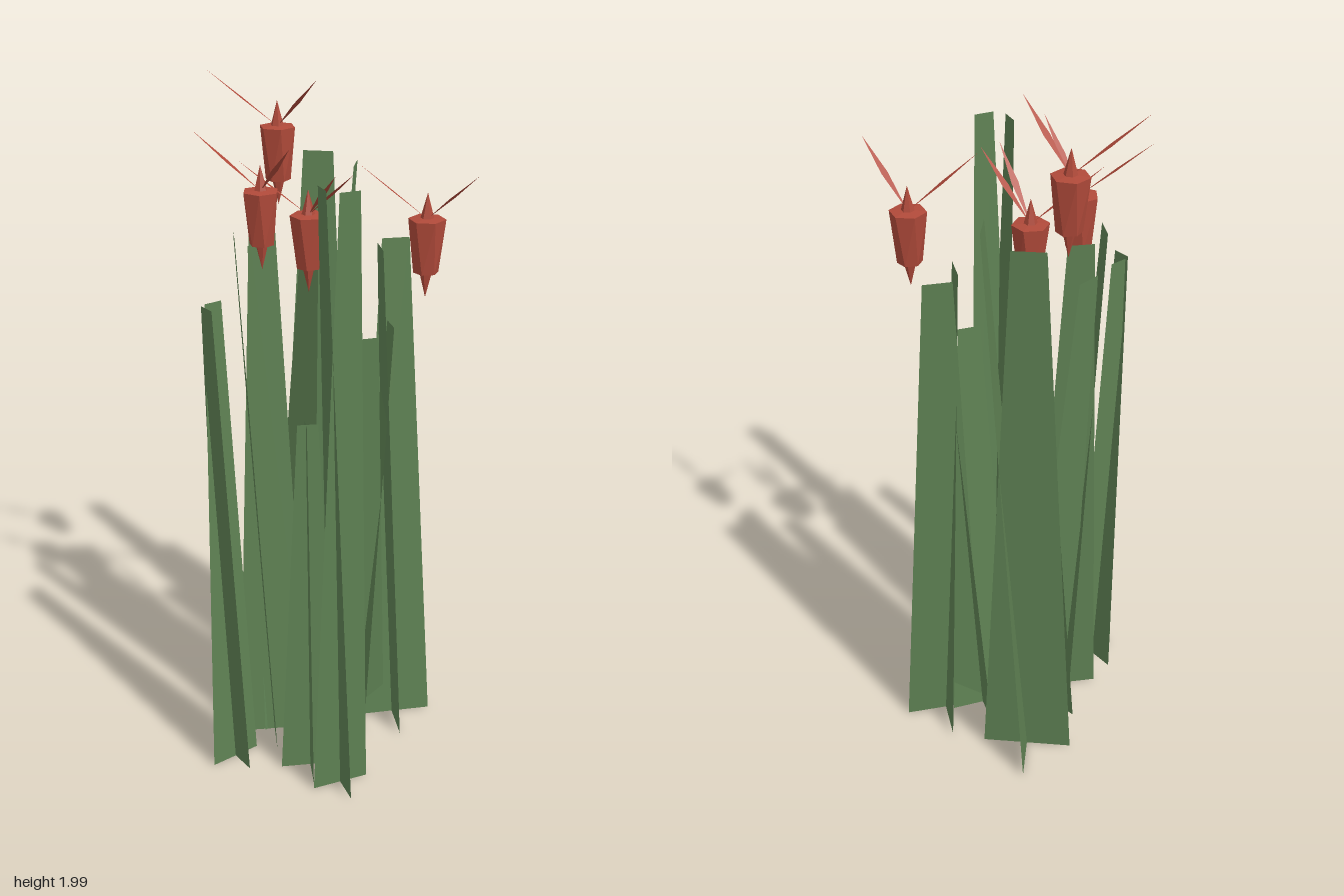
import * as THREE from 'three';

const leafMat = new THREE.MeshStandardMaterial({ color: 0x5f8254, flatShading: true, side: THREE.DoubleSide });
const redMat = new THREE.MeshStandardMaterial({ color: 0xb04a3a, flatShading: true, side: THREE.DoubleSide });

// Flat four-cornered surface, corners in order round the edge
function quad(name, a, b, c, d, mat) {
  const g = new THREE.BufferGeometry();
  g.setAttribute('position', new THREE.Float32BufferAttribute([a, b, c, a, c, d].flat(), 3));
  g.computeVertexNormals();
  const m = new THREE.Mesh(g, mat);
  m.name = name;
  return m;
}

// One tapering blade: half-width vector (wx, wz) at the foot, top shifted by (lx, lz)
function blade(cx, cz, wx, wz, h, lx, lz) {
  const t = 0.33, tx = cx + lx, tz = cz + lz;
  return quad('blade',
    [cx - wx, 0, cz - wz], [cx + wx, 0, cz + wz],
    [tx + wx * t, h, tz + wz * t], [tx - wx * t, h, tz - wz * t], leafMat);
}

// Two blades crossing at right angles, each leaning square to its own face
function tuft([cx, cz, ux, uz, h, lean1, lean2]) {
  const g = new THREE.Group();
  g.name = 'tuft';
  const vx = -uz, vz = ux;
  g.add(blade(cx, cz, ux, uz, h, vx * lean1, vz * lean1));
  g.add(blade(cx, cz, vx, vz, h, ux * lean2, uz * lean2));
  return g;
}

// Twisted, faceted lantern-shaped bloom; y = 0 is the top of the body
function bloomBody() {
  const profile = [[0, -0.215], [0.016, -0.15], [0.034, -0.145], [0.05, 0], [0.018, 0.003], [0, 0.07]];
  const twist = [0, 0, 0, 0.75, 0.75, 0.75];
  const n = 6;
  const g = new THREE.LatheGeometry(profile.map(p => new THREE.Vector2(...p)), n);
  const p = g.attributes.position;
  const v = new THREE.Vector3(), up = new THREE.Vector3(0, 1, 0);
  for (let i = 0; i < p.count; i++) {
    v.fromBufferAttribute(p, i).applyAxisAngle(up, twist[i % profile.length]);
    p.setXYZ(i, v.x, v.y, v.z);
  }
  const flat = g.toNonIndexed();
  flat.computeVertexNormals();
  const m = new THREE.Mesh(flat, redMat);
  m.name = 'bloomBody';
  return m;
}

// Long thin spike, widest halfway along
function spike(x, z) {
  const l = Math.hypot(x, z), sx = -z / l * 0.01, sz = x / l * 0.01;
  return quad('spike', [0, 0, 0], [x / 2 + sx, 0.075, z / 2 + sz],
    [x, 0.15, z], [x / 2 - sx, 0.075, z / 2 - sz], redMat);
}

function bloom([x, y, z, spikes], i) {
  const g = new THREE.Group();
  g.name = 'bloom';
  const body = bloomBody();
  body.rotation.y = i * 0.4;
  g.add(body, ...spikes.map(s => spike(...s)));
  g.position.set(x, y, z);
  return g;
}

export function createModel() {
  const model = new THREE.Group();
  model.name = 'floweringReeds';

  // centre x, z, half-width vector, height, leans of the two blades
  const tufts = [
    [-0.184, -0.2, 0.121, -0.049, 1.73, -0.93, 0.94],
    [0.11, -0.184, 0.09, -0.077, 1.54, -0.62, -0.5],
    [0.018, -0.11, 0.068, 0.066, 1.31, -1.0, 0.95],
    [-0.154, 0, 0.103, 0.029, 1.53, -0.9, -1.0],
    [-0.163, 0.08, 0.064, 0.085, 1.6, 0.75, -0.8],
    [-0.193, 0.254, 0.071, 0.03, 1.45, 0.52, -0.4],
    [0.024, 0.175, 0.053, 0.068, 1.13, 0.06, 0.06],
    [0.142, 0.2, 0.066, 0.051, 1.8, 0.62, 0.64],
  ];
  tufts.forEach(t => model.add(tuft(t)));

  // position of the body top, then the spike tips across x and z
  const blooms = [
    [-0.235, 1.84, -0.108, [[-0.16, 0.094], [0.165, 0.07]]],
    [-0.083, 1.64, -0.014, [[-0.155, 0.1], [0.178, 0.064], [0.15, 0.115]]],
    [-0.182, 1.71, 0.063, [[-0.17, 0.057], [0.155, 0.105]]],
    [0.22, 1.65, -0.112, [[-0.15, 0.102], [0.172, 0.064]]],
  ];
  blooms.forEach((b, i) => model.add(bloom(b, i)));
  return model;
}
